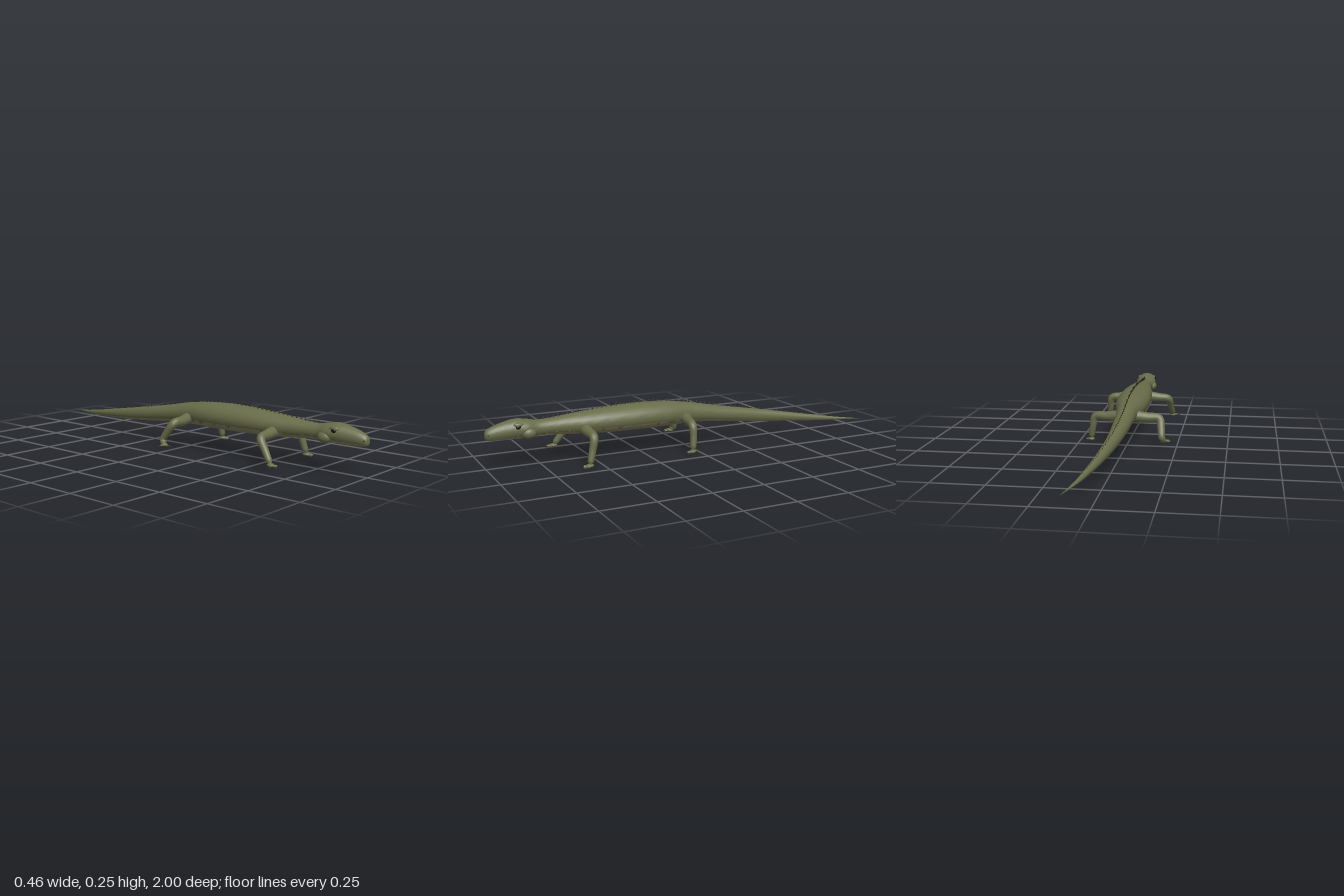
import * as THREE from 'three';

const mat = (name, color) => Object.assign(new THREE.MeshStandardMaterial({ color }), { name });
const V = (x, y, z) => new THREE.Vector3(x, y, z);

export function createModel() {
  const skin = mat('olive skin', 0x686c49);
  const belly = mat('pale belly', 0x8c8461);
  const dark = mat('dark spines and claws', 0x25251a);
  const eyeMat = mat('eye black', 0x12110d);
  const model = new THREE.Group();
  model.name = 'lizard';

  const add = (name, geo, material, parent = model) => {
    const m = new THREE.Mesh(geo, material);
    m.name = name;
    parent.add(m);
    return m;
  };

  // Smooth skin through rings; faces turned down go to the pale material group
  function loft(steps, sides, point, paleLimit) {
    const pos = [], green = [], pale = [];
    for (let i = 0; i <= steps; i++)
      for (let j = 0; j < sides; j++) pos.push(...point(i / steps, (j / sides) * Math.PI * 2, i, j).toArray());
    const at = k => V(pos[3 * k], pos[3 * k + 1], pos[3 * k + 2]);
    for (let i = 0; i < steps; i++)
      for (let j = 0; j < sides; j++) {
        const a = i * sides + j, d = i * sides + (j + 1) % sides, b = a + sides, c = d + sides;
        const n = at(c).sub(at(a)).cross(at(d).sub(at(b))).normalize();
        (n.y < paleLimit ? pale : green).push(a, b, c, a, c, d);
      }
    const g = new THREE.BufferGeometry();
    g.setAttribute('position', new THREE.Float32BufferAttribute(pos, 3));
    g.setIndex([...green, ...pale]);
    g.addGroup(0, green.length, 0);
    g.addGroup(green.length, pale.length, 1);
    g.computeVertexNormals();
    return g;
  }

  // Body sections from snout to tail tip: z, centre x, bottom, top, half width
  const rows = [
    [1, 0, 0.16, 0.162, 0.001], [0.995, 0, 0.144, 0.183, 0.018], [0.97, 0, 0.138, 0.199, 0.028],
    [0.92, 0, 0.136, 0.215, 0.038], [0.86, 0, 0.136, 0.227, 0.05], [0.81, 0, 0.137, 0.222, 0.054],
    [0.76, 0, 0.138, 0.213, 0.042], [0.7, 0, 0.138, 0.214, 0.042], [0.61, 0, 0.13, 0.223, 0.052],
    [0.52, 0, 0.124, 0.231, 0.068], [0.4, 0, 0.119, 0.24, 0.08], [0.25, 0, 0.117, 0.244, 0.084],
    [0.12, 0, 0.117, 0.238, 0.075], [0, 0, 0.118, 0.224, 0.053], [-0.1, 0, 0.115, 0.205, 0.045],
    [-0.22, 0.003, 0.103, 0.182, 0.039], [-0.4, 0.014, 0.086, 0.152, 0.029], [-0.6, 0.038, 0.072, 0.118, 0.02],
    [-0.8, 0.073, 0.061, 0.085, 0.011], [-0.93, 0.102, 0.059, 0.067, 0.004], [-1, 0.12, 0.059, 0.06, 0.0005],
  ];
  const plan = new THREE.CatmullRomCurve3(rows.map(r => V(r[1], r[4], r[0])), false, 'catmullrom');
  const side = new THREE.CatmullRomCurve3(rows.map(r => V(r[2], r[3], r[0])), false, 'catmullrom');
  add('body', loft(160, 28, (t, a, i, j) => {
    const p = plan.getPoint(t), s = side.getPoint(t);
    const ripple = 1 + 0.012 * Math.sin(i * 1.9 + j * 2.3) * Math.sin(i * 0.7 - j * 1.3);
    const low = Math.sin(a) < 0 ? 0.85 : 1; // fuller flanks underneath
    return V(p.x + Math.sign(Math.cos(a)) * Math.abs(Math.cos(a)) ** low * p.y * ripple,
      (s.x + s.y) / 2 + Math.sin(a) * (s.y - s.x) / 2 * ripple, p.z);
  }, -0.55), [skin, belly]);

  // Crest of small spines along the back
  const crest = new THREE.Group();
  crest.name = 'crest';
  model.add(crest);
  const samples = Array.from({ length: 801 }, (_, i) => ({ p: plan.getPoint(i / 800), s: side.getPoint(i / 800) }));
  for (let z = 0.75; z > -0.88; z -= 0.024) {
    const { p, s } = samples.find(q => q.p.z <= z);
    const k = z > -0.1 ? 1 : Math.max(0.25, 1 + (z + 0.1) * 0.95);
    const spine = add('spine', new THREE.ConeGeometry(0.0055 * k, 0.02 * k, 6), dark, crest);
    spine.position.set(p.x, s.y + 0.005 * k, z);
    spine.rotation.x = -0.3;
    spine.scale.x = 0.7;
  }

  // Jowls, eyes and nostrils
  for (const s of [-1, 1]) {
    const ball = (name, m, p, size) => {
      const b = add(name, new THREE.SphereGeometry(1, 20, 14), m);
      b.position.set(s * p[0], p[1], p[2]);
      b.scale.set(...size);
    };
    ball('jowl', skin, [0.04, 0.162, 0.805], [0.023, 0.026, 0.034]);
    ball('brow', skin, [0.038, 0.205, 0.852], [0.012, 0.011, 0.024]);
    ball('eye', eyeMat, [0.046, 0.196, 0.855], [0.007, 0.01, 0.012]);
    ball('nostril', eyeMat, [0.02, 0.167, 0.986], [0.004, 0.004, 0.005]);
  }

  // Foot with five clawed toes, pointing along its own +z
  function makeFoot(name, x, y, z, heading) {
    const foot = new THREE.Group();
    foot.name = name;
    foot.position.set(x, y, z);
    foot.rotation.y = heading;
    model.add(foot);
    add('palm', new THREE.SphereGeometry(1, 16, 10), skin, foot).scale.set(0.016, 0.009, 0.02);
    for (let i = -2; i <= 2; i++) {
      const toe = new THREE.Group();
      toe.name = 'toe';
      toe.rotation.set(0.12, i * 0.42, 0, 'YXZ');
      foot.add(toe);
      const len = 0.034 - 0.002 * Math.abs(i);
      add('toe bone', new THREE.CylinderGeometry(0.0035, 0.006, len, 8).rotateX(Math.PI / 2).translate(0, 0, len / 2), skin, toe);
      add('claw', new THREE.ConeGeometry(0.0042, 0.015, 7).rotateX(Math.PI / 2 + 0.2).translate(0, -0.001, len + 0.005), dark, toe);
    }
  }

  // Leg: tapered tube through its joints
  function makeLeg(name, joints, foot) {
    const curve = new THREE.CatmullRomCurve3(joints.map(j => V(...j)), false, 'centripetal');
    const last = joints.length - 1;
    const radius = t => t > 0.96 ? 0.008 : THREE.MathUtils.lerp(0.029, 0.02, Math.min(1, t * 2.2)) - 0.006 * Math.max(0, t - 0.5) * 2;
    add(name, loft(32, 16, (t, a) => {
      const T = curve.getTangent(t);
      const N = T.clone().cross(V(0, 0, 1)).normalize(), B = N.clone().cross(T);
      return curve.getPoint(t).addScaledVector(N, Math.cos(a) * radius(t)).addScaledVector(B, Math.sin(a) * radius(t));
    }, -0.7), [skin, belly]);
    const [x, y, z] = joints[last];
    makeFoot(name + ' foot', x, y, z, foot);
  }
  makeLeg('right front leg', [[-0.03, 0.155, 0.54], [-0.1, 0.147, 0.545], [-0.157, 0.139, 0.552], [-0.168, 0.09, 0.585], [-0.18, 0.034, 0.625]], -0.25);
  makeLeg('left front leg', [[0.03, 0.155, 0.54], [0.1, 0.147, 0.54], [0.158, 0.139, 0.54], [0.168, 0.08, 0.552], [0.178, 0.015, 0.57]], 0.1);
  makeLeg('right rear leg', [[-0.03, 0.155, 0.02], [-0.1, 0.146, 0.03], [-0.16, 0.142, 0.03], [-0.172, 0.1, 0], [-0.178, 0.058, -0.025], [-0.188, 0.038, -0.008]], -0.75);
  makeLeg('left rear leg', [[0.03, 0.155, 0.015], [0.1, 0.147, 0.028], [0.164, 0.142, 0.04], [0.178, 0.09, 0.042], [0.188, 0.022, 0.05]], 0.55);

  return model;
}
